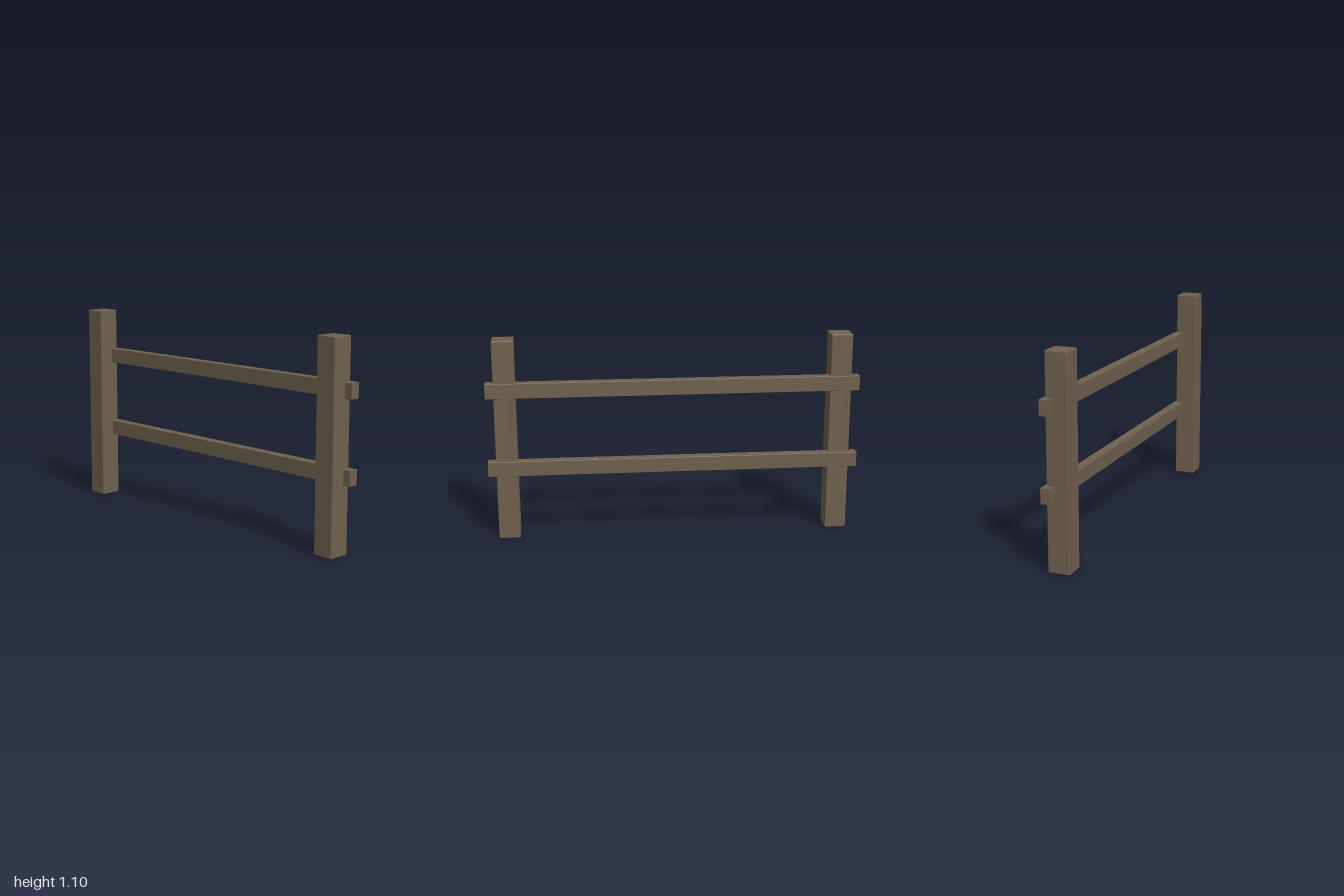
import * as THREE from 'three';
import { RoundedBoxGeometry } from 'three/addons/geometries/RoundedBoxGeometry.js';

export function createModel() {
  const group = new THREE.Group();
  group.name = 'fence';
  const wood = new THREE.MeshStandardMaterial({ color: 0x6f614e });
  wood.name = 'weathered wood';

  // A timber beam with slightly softened edges
  const beam = (name, size, position, edge) => {
    const mesh = new THREE.Mesh(new RoundedBoxGeometry(...size, 1, edge), wood);
    mesh.name = name;
    mesh.position.set(...position);
    group.add(mesh);
  };

  // Upright posts
  for (const [name, side] of [['leftPost', 1], ['rightPost', -1]]) {
    beam(name, [0.116, 1.097, 0.117], [side * 0.899, 0.5485, 0.0065], 0.006);
  }

  // Horizontal rails, let into the backs of the posts
  for (const [name, y] of [['lowerRail', 0.401], ['upperRail', 0.831]]) {
    beam(name, [2, 0.082, 0.052], [0, y, -0.039], 0.003);
  }

  return group;
}
